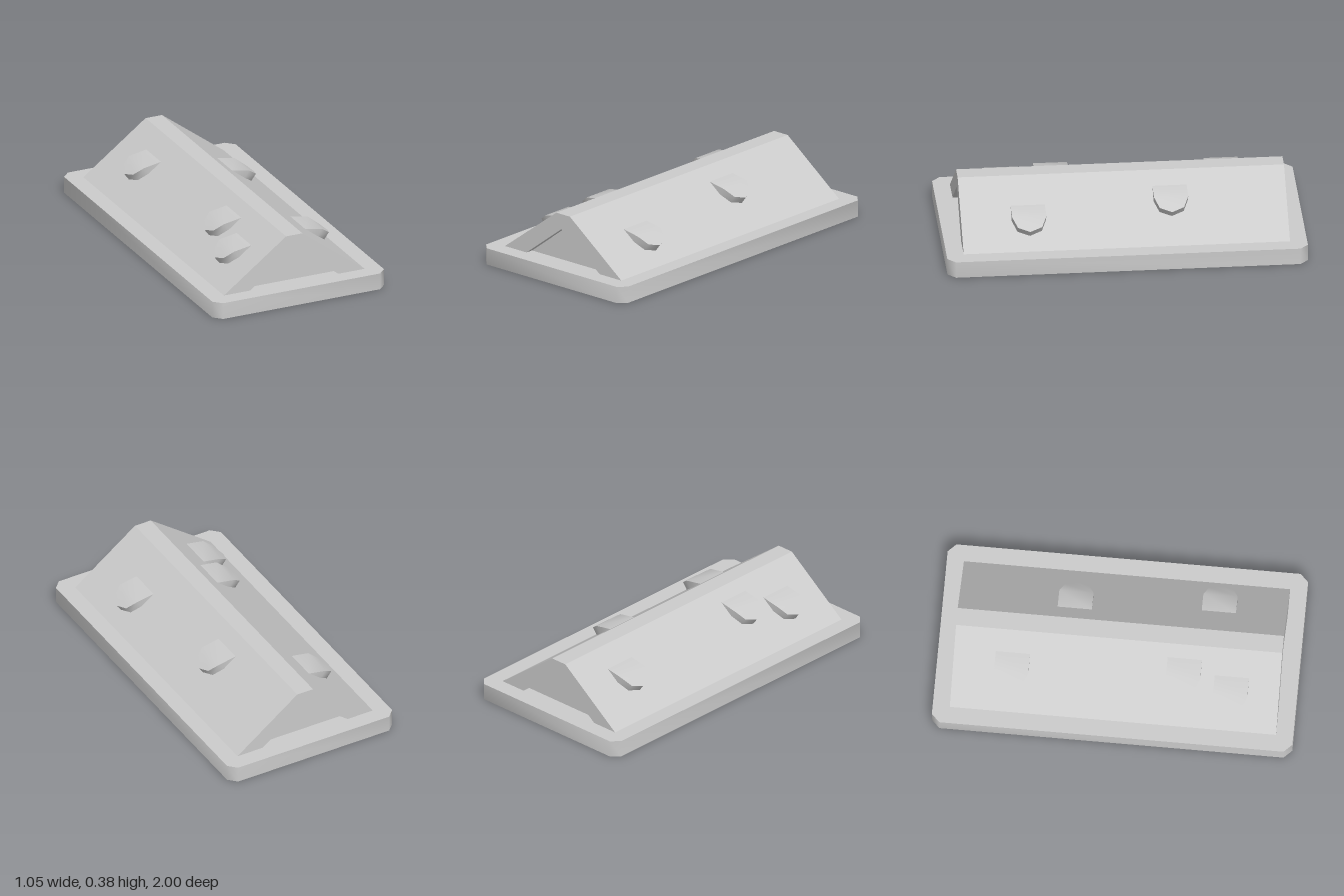
import * as THREE from 'three';
import { toCreasedNormals } from 'three/addons/utils/BufferGeometryUtils.js';

const material = new THREE.MeshStandardMaterial({ color: 0xcccccc });
const CREASE = 0.9;
const BASE_H = 0.095, RIDGE_LEN = 1.81, RECESS = 0.045;
const SLOPE = Math.atan(0.75);

// Prism along z, centred, from a list of [x, y] corners
function prism(points, length) {
  const shape = new THREE.Shape(points.map(([x, y]) => new THREE.Vector2(x, y)));
  return new THREE.ExtrudeGeometry(shape, { depth: length, bevelEnabled: false })
    .translate(0, 0, -length / 2);
}

function part(name, geometry) {
  const mesh = new THREE.Mesh(geometry, material);
  mesh.name = name;
  return mesh;
}

// Half-octagon grip whose top ramps down to a sharp edge at x = 0
function gripGeometry(r, h) {
  const rim = [0, 1, 2, 3, 4].map(i => {
    const t = Math.PI / 2 - i * Math.PI / 4;
    return [r + r * Math.cos(t), r * Math.sin(t)];
  });
  const low = rim.map(([x, z]) => [x, 0, z]);
  const top = rim.map(([x, z]) => [x, h, z]);
  const edgeA = [0, 0, r], edgeB = [0, 0, -r];
  const tris = [
    edgeA, top[0], top[4], edgeA, top[4], edgeB,   // ramp
    edgeA, low[0], top[0], low[4], edgeB, top[4],  // ramp cheeks
  ];
  for (let i = 0; i < 4; i++) {
    tris.push(low[i], low[i + 1], top[i + 1], low[i], top[i + 1], top[i]);
    if (i > 0) tris.push(top[0], top[i], top[i + 1]);
  }
  const g = new THREE.BufferGeometry();
  g.setAttribute('position', new THREE.Float32BufferAttribute(tris.flat(), 3));
  return toCreasedNormals(g, CREASE);
}

export function createModel() {
  const model = new THREE.Group();
  model.name = 'rampBlock';

  // Base plate with clipped corners
  const X = 0.525, Z = 1, c = 0.045;
  const plate = prism([
    [X, -Z + c], [X, Z - c], [X - c, Z], [-X + c, Z],
    [-X, Z - c], [-X, -Z + c], [-X + c, -Z], [X - c, -Z],
  ], BASE_H).rotateX(-Math.PI / 2).translate(0, BASE_H / 2, 0);
  model.add(part('basePlate', toCreasedNormals(plate, CREASE)));

  // Ridge shell with a recessed triangular panel at each end
  const inner = [[0.27, BASE_H], [0.015, 0.29], [-0.015, 0.29], [-0.27, BASE_H]];
  const outer = [[-0.43, BASE_H], [-0.05, 0.38], [0.05, 0.38], [0.43, BASE_H]];
  model.add(part('ridgeShell', prism([...outer, ...inner], RIDGE_LEN)));
  model.add(part('endPanels', prism(inner, RIDGE_LEN - 2 * RECESS)));

  // Grips on the slopes: [x of the upper edge, z]
  const grip = gripGeometry(0.095, 0.0475);
  for (const [x, z] of [[-0.155, -0.58], [-0.115, 0.37], [-0.18, 0.637], [0.13, -0.263], [0.2, 0.53]]) {
    const mesh = part(x < 0 ? 'rightGrip' : 'leftGrip', grip);
    mesh.position.set(x, BASE_H + (0.43 - Math.abs(x)) * 0.75, z);
    mesh.rotation.set(0, x < 0 ? Math.PI : 0, -SLOPE);
    model.add(mesh);
  }
  return model;
}
